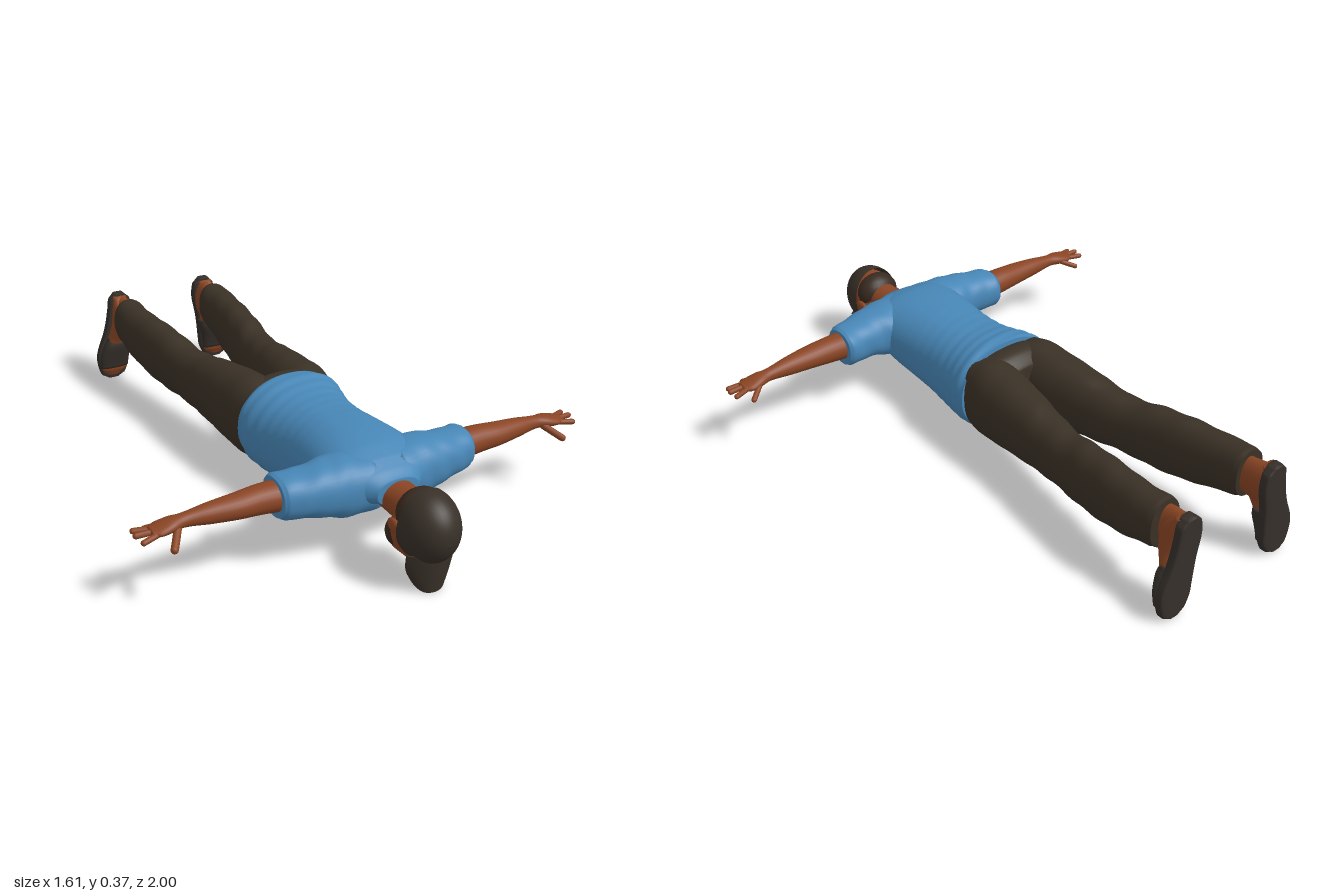
import * as THREE from 'three';

const mat = (name, color, side = THREE.FrontSide) => {
  const m = new THREE.MeshStandardMaterial({ color, side });
  m.name = name;
  return m;
};
const blue = mat('shirt blue', 0x4887b7, THREE.DoubleSide);
const skin = mat('skin brown', 0x8a4524);
const dark = mat('trouser brown', 0x3a3126);
const capMat = mat('cap brown', 0x383028, THREE.DoubleSide);
const shoeMat = mat('shoe brown', 0x352f2a);
const hairMat = mat('hair', 0x382a20);

// Axis mappings: (along, a, b) -> point
const alongZ = (t, a, b) => [a, b, t];
const alongX = (t, a, b) => [t, b, a];
const alongY = (t, a, b) => [a, t, b];

// Smooth loft through rows [t, aMin, aMax, bMin, bMax], closed at both ends
function loft(map, rows, { s = 1, power = 2, n = 36, sub = 5, wrinkle = () => 0 } = {}) {
  const rings = [];
  const at = i => rows[Math.max(0, Math.min(rows.length - 1, i))];
  for (let i = 0; i < rows.length - 1; i++) {
    const last = i === rows.length - 2;
    for (let k = 0; k < sub + (last ? 1 : 0); k++) {
      const u = k / sub;
      rings.push(rows[0].map((_, c) => {
        const [p, q, r, w] = [at(i - 1)[c], at(i)[c], at(i + 1)[c], at(i + 2)[c]];
        if (c === 0) return q + (r - q) * u;
        return q + 0.5 * u * (r - p + u * (2 * p - 5 * q + 4 * r - w + u * (3 * (q - r) + w - p)));
      }));
    }
  }
  const pos = [], index = [];
  const push = (t, a, b) => { const p = map(t, a, b); pos.push(p[0] * s, p[1], p[2]); };
  const bend = v => Math.sign(v) * Math.abs(v) ** (2 / power);
  for (const [t, a0, a1, b0, b1] of rings) {
    for (let j = 0; j < n; j++) {
      const g = j / n * Math.PI * 2, k = 0.5 * (1 + wrinkle(t, g));
      push(t, (a0 + a1) / 2 + (a1 - a0) * k * bend(Math.cos(g)), (b0 + b1) / 2 + (b1 - b0) * k * bend(Math.sin(g)));
    }
  }
  for (let i = 0; i < rings.length - 1; i++) {
    for (let j = 0; j < n; j++) {
      const a = i * n + j, b = i * n + (j + 1) % n;
      index.push(a, b, a + n, b, b + n, a + n);
    }
  }
  const first = rings[0], end = rings[rings.length - 1], base = (rings.length - 1) * n;
  for (const r of [first, end]) push(r[0], (r[1] + r[2]) / 2, (r[3] + r[4]) / 2);
  for (let j = 0; j < n; j++) {
    const k = (j + 1) % n;
    index.push(base + n, k, j, base + n + 1, base + j, base + k);
  }
  // Turn the faces outward whatever the axis or mirroring
  let volume = 0;
  const v = i => new THREE.Vector3().fromArray(pos, i * 3);
  for (let i = 0; i < index.length; i += 3) volume += v(index[i]).dot(v(index[i + 1]).cross(v(index[i + 2])));
  if (volume < 0) index.reverse();
  const geo = new THREE.BufferGeometry();
  geo.setAttribute('position', new THREE.Float32BufferAttribute(pos, 3));
  geo.setIndex(index);
  geo.computeVertexNormals();
  return geo;
}

export function createModel() {
  const model = new THREE.Group();
  model.name = 'lying man';
  const add = (name, geo, material) => {
    const mesh = new THREE.Mesh(geo, material);
    mesh.name = name;
    model.add(mesh);
    return mesh;
  };
  const ball = (name, material, p, r) => {
    const m = add(name, new THREE.SphereGeometry(1, 20, 14), material);
    m.position.set(...p);
    m.scale.set(...r);
    return m;
  };
  const finger = (name, a, b, r) => {
    const p = new THREE.Vector3(...a), q = new THREE.Vector3(...b), d = q.clone().sub(p);
    const m = add(name, new THREE.CapsuleGeometry(r, d.length(), 5, 10), skin);
    m.position.copy(p).add(q).multiplyScalar(0.5);
    m.quaternion.setFromUnitVectors(new THREE.Vector3(0, 1, 0), d.normalize());
  };

  // Shirt body with gathered folds near the hem
  add('shirt', loft(alongZ, [
    [0.06, -0.195, 0.195, 0.05, 0.37], [0.09, -0.2, 0.2, 0.04, 0.375], [0.15, -0.188, 0.188, 0.032, 0.365],
    [0.22, -0.174, 0.174, 0.03, 0.355], [0.32, -0.165, 0.165, 0.042, 0.355], [0.42, -0.17, 0.17, 0.06, 0.36],
    [0.52, -0.18, 0.18, 0.085, 0.36], [0.6, -0.185, 0.185, 0.125, 0.35], [0.66, -0.165, 0.165, 0.16, 0.328],
    [0.7, -0.115, 0.115, 0.19, 0.305], [0.735, -0.075, 0.075, 0.2, 0.283],
  ], {
    power: 2.3, n: 64, sub: 8,
    wrinkle: (t, g) => t < 0.45 ? 0.014 * Math.sin(t * 130 + 2 * Math.sin(2 * g)) * (0.45 - t) / 0.4 : 0,
  }), blue);

  // Seat of the trousers
  add('trouserSeat', loft(alongZ, [
    [0.14, -0.17, 0.17, 0.08, 0.33], [0.05, -0.19, 0.19, 0.062, 0.358], [0, -0.18, 0.18, 0.075, 0.355], [-0.05, -0.12, 0.12, 0.12, 0.32],
  ], { power: 2.4 }), dark);

  for (const s of [1, -1]) {
    const side = s > 0 ? 'left' : 'right';

    // Sleeve, arm and hand
    add(side + 'Sleeve', loft(alongX, [
      [0.04, 0.52, 0.715, 0.15, 0.33], [0.14, 0.5, 0.702, 0.14, 0.335], [0.21, 0.515, 0.69, 0.158, 0.327],
      [0.28, 0.513, 0.675, 0.17, 0.317], [0.335, 0.507, 0.66, 0.173, 0.315], [0.35, 0.515, 0.65, 0.18, 0.308],
    ], { s, power: 2.3, wrinkle: (t, g) => 0.015 * Math.sin(t * 75 + 3 * g) }), blue);
    add(side + 'Arm', loft(alongX, [
      [0.3, 0.53, 0.64, 0.195, 0.298], [0.4, 0.535, 0.632, 0.205, 0.298], [0.48, 0.542, 0.63, 0.212, 0.292],
      [0.57, 0.55, 0.617, 0.22, 0.285], [0.65, 0.557, 0.605, 0.23, 0.274], [0.69, 0.547, 0.615, 0.228, 0.27],
      [0.73, 0.543, 0.618, 0.228, 0.26], [0.755, 0.555, 0.608, 0.232, 0.254],
    ], { s, n: 24 }), skin);
    const tips = [[0.745, 0.52, 0.22], [0.793, 0.548, 0.24], [0.798, 0.582, 0.243], [0.788, 0.616, 0.235]];
    tips.forEach(([x, z, y], i) =>
      finger(side + 'Finger' + (i + 1), [s * (0.7 + (i ? 0.025 : 0)), 0.242, 0.555 + i * 0.015], [s * x, y, z], 0.0095));
    finger(side + 'Thumb', [s * 0.675, 0.24, 0.6], [s * 0.712, 0.21, 0.656], 0.012);

    // Trouser leg
    add(side + 'TrouserLeg', loft(alongZ, [
      [0.1, 0.01, 0.185, 0.08, 0.34], [0, 0.002, 0.2, 0.068, 0.358], [-0.1, 0.012, 0.205, 0.08, 0.35],
      [-0.2, 0.032, 0.206, 0.092, 0.34], [-0.32, 0.055, 0.208, 0.105, 0.322], [-0.42, 0.073, 0.216, 0.115, 0.315],
      [-0.52, 0.088, 0.226, 0.113, 0.335], [-0.65, 0.103, 0.24, 0.125, 0.348], [-0.78, 0.118, 0.25, 0.155, 0.352],
      [-0.87, 0.122, 0.25, 0.182, 0.36], [-0.892, 0.126, 0.245, 0.19, 0.357],
    ], {
      s, power: 2.3, n: 40, sub: 6,
      wrinkle: (t, g) => 0.018 * Math.sin(t * 48 + 2 * Math.sin(g + 1)) * (t < -0.25 ? 1 : 0.4),
    }), dark);

    // Ankle, foot and sandal-like shoe
    add(side + 'Ankle', loft(alongZ, [
      [-0.85, 0.14, 0.22, 0.21, 0.335], [-0.91, 0.142, 0.215, 0.205, 0.345], [-0.975, 0.145, 0.225, 0.19, 0.352],
    ], { s, n: 24 }), skin);
    add(side + 'Foot', loft(alongY, [
      [0.018, 0.205, 0.26, -0.985, -0.962], [0.045, 0.178, 0.28, -0.985, -0.95], [0.1, 0.172, 0.28, -0.985, -0.943],
      [0.17, 0.163, 0.255, -0.985, -0.925], [0.23, 0.155, 0.235, -0.985, -0.895], [0.3, 0.15, 0.225, -0.985, -0.9],
      [0.35, 0.165, 0.215, -0.985, -0.95],
    ], { s, n: 24, power: 2.5 }), skin);
    add(side + 'ShoeUpper', loft(alongY, [
      [0.055, 0.171, 0.287, -0.985, -0.945], [0.1, 0.166, 0.287, -0.985, -0.936], [0.15, 0.158, 0.27, -0.985, -0.925],
      [0.185, 0.153, 0.252, -0.985, -0.93],
    ], { s, n: 24, power: 2.6 }), shoeMat);
    add(side + 'Sole', loft(alongY, [
      [0.006, 0.21, 0.255, -1, -0.965], [0.02, 0.183, 0.278, -1, -0.963], [0.06, 0.165, 0.29, -1, -0.963],
      [0.11, 0.16, 0.29, -1, -0.963], [0.2, 0.152, 0.256, -1, -0.963], [0.28, 0.138, 0.237, -1, -0.963],
      [0.335, 0.145, 0.228, -1, -0.963], [0.358, 0.168, 0.208, -1, -0.963],
    ], { s, n: 32, power: 5 }), shoeMat);

    // Ear, sideburn with beard, and eye
    ball(side + 'Ear', skin, [s * 0.084, 0.2, 0.835], [0.012, 0.022, 0.032]);
    ball(side + 'Beard', hairMat, [s * 0.054, 0.145, 0.79], [0.02, 0.042, 0.036]);
    ball(side + 'Eye', hairMat, [s * 0.03, 0.072, 0.848], [0.014, 0.006, 0.007]);
  }

  // Neck and head, face downward
  add('neck', loft(alongZ, [
    [0.66, -0.075, 0.075, 0.18, 0.3], [0.73, -0.06, 0.06, 0.17, 0.278], [0.83, -0.06, 0.06, 0.16, 0.282],
  ]), skin);
  add('head', loft(alongZ, [
    [0.732, -0.025, 0.025, 0.075, 0.12], [0.75, -0.047, 0.047, 0.064, 0.17], [0.78, -0.066, 0.066, 0.062, 0.235],
    [0.83, -0.079, 0.079, 0.066, 0.287], [0.88, -0.084, 0.084, 0.072, 0.305], [0.93, -0.075, 0.075, 0.09, 0.295],
    [0.965, -0.045, 0.045, 0.13, 0.26],
  ]), skin);
  ball('nose', skin, [0, 0.062, 0.813], [0.017, 0.02, 0.024]);
  ball('mouth', hairMat, [0, 0.067, 0.776], [0.026, 0.008, 0.006]);
  ball('hair', hairMat, [0, 0.235, 0.85], [0.082, 0.074, 0.062]);

  // Cap crown, tilted so that it sits lower at the back of the head
  const crown = new THREE.SphereGeometry(1, 36, 20, 0, Math.PI * 2, 0, Math.PI * 0.56);
  crown.rotateX(Math.PI / 2).scale(0.095, 0.118, 0.119).rotateX(0.12);
  add('capCrown', crown, capMat).position.set(0, 0.203, 0.881);
  ball('capButton', capMat, [0, 0.19, 0.996], [0.01, 0.01, 0.004]);

  // Cap brim: a plate rounded at the tip and curled down at the sides
  const brim = new THREE.BoxGeometry(2, 1, 0.009, 20, 12, 1);
  const p = brim.attributes.position;
  for (let i = 0; i < p.count; i++) {
    const u = p.getX(i), v = 0.5 - p.getY(i);
    const x = u * 0.086, y = 0.135 - v * (0.134 - 0.05 * u ** 4);
    p.setXYZ(i, x * (1 - 0.22 * v ** 3), y, p.getZ(i) + 0.95 - 0.012 * v - 0.04 * u * u);
  }
  brim.computeVertexNormals();
  add('capBrim', brim, capMat);

  return model;
}
